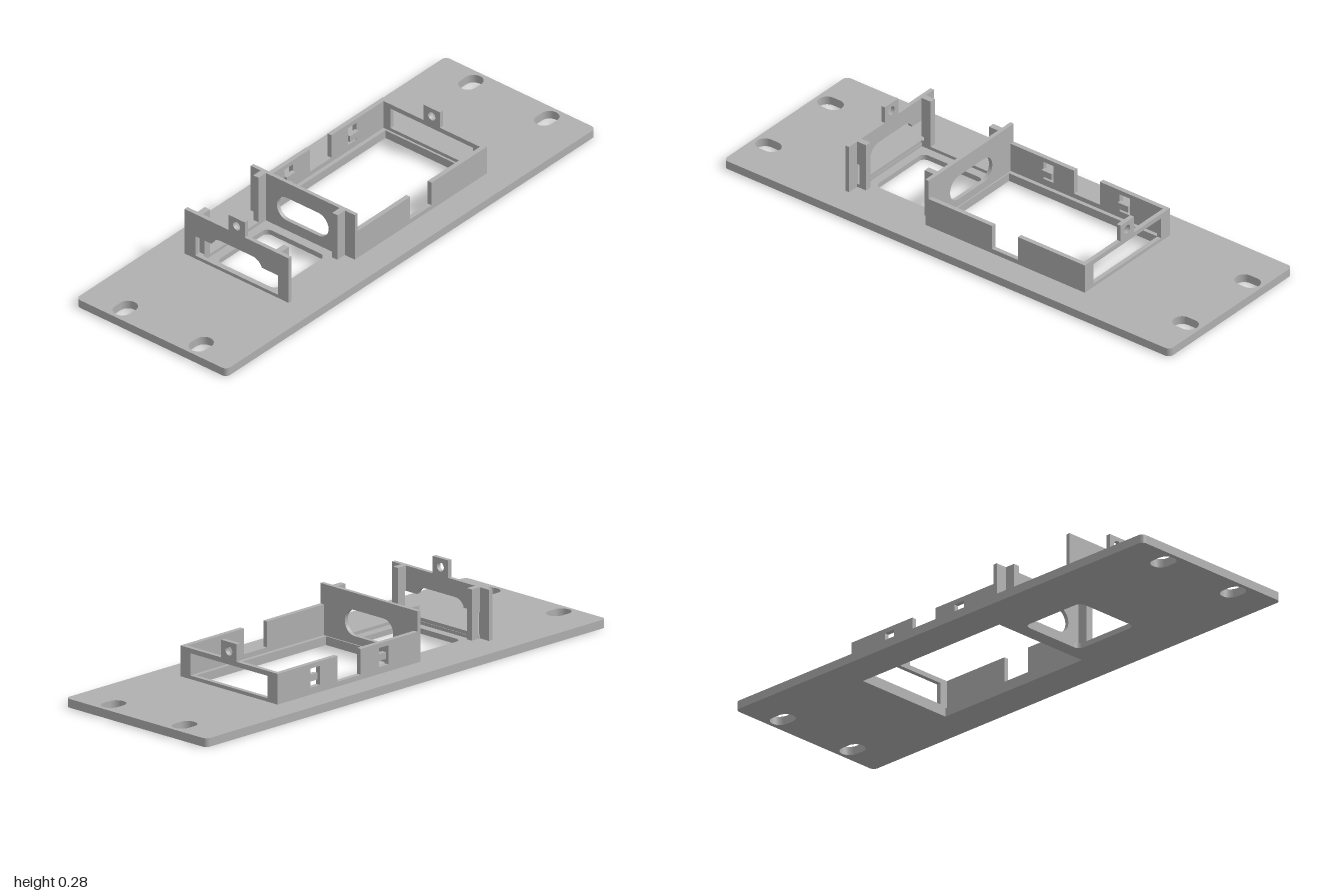
import * as THREE from 'three';

const grey = new THREE.MeshStandardMaterial({ color: 0xb0b0b0 });
grey.name = 'plain grey';

// Rounded rectangle centred on (cx, cy); r = 0 gives sharp corners
function roundRect(Type, cx, cy, w, h, r) {
  const p = new Type(), a = w / 2 - r, b = h / 2 - r, H = Math.PI / 2;
  if (r === 0) {
    return p.moveTo(cx - a, cy - b).lineTo(cx + a, cy - b).lineTo(cx + a, cy + b).lineTo(cx - a, cy + b).closePath();
  }
  p.absarc(cx + a, cy - b, r, -H, 0);
  p.absarc(cx + a, cy + b, r, 0, H);
  p.absarc(cx - a, cy + b, r, H, 2 * H);
  p.absarc(cx - a, cy - b, r, 2 * H, 3 * H);
  return p.closePath();
}
const hole = (...args) => roundRect(THREE.Path, ...args);

function polygon(points) {
  return new THREE.Shape(points.map(([x, y]) => new THREE.Vector2(x, y)));
}

function extrude(shape, depth) {
  return new THREE.ExtrudeGeometry(shape, { depth, bevelEnabled: false, curveSegments: 10 });
}

export function createModel() {
  const group = new THREE.Group();
  const add = (name, geometry) => {
    const mesh = new THREE.Mesh(geometry, grey);
    mesh.name = name;
    group.add(mesh);
  };
  const box = (name, x0, x1, y0, y1, z0, z1) => add(name, new THREE.BoxGeometry(x1 - x0, y1 - y0, z1 - z0)
    .translate((x0 + x1) / 2, (y0 + y1) / 2, (z0 + z1) / 2));
  // Upright wall across the plate, drawn in z and y
  const crossWall = (name, shape, x0, x1) => add(name, extrude(shape, x1 - x0).rotateY(Math.PI / 2).translate(x0, 0, 0));
  // Upright wall along the plate, drawn in x and y
  const longWall = (name, shape, z0, z1) => add(name, extrude(shape, z1 - z0).translate(0, 0, z0));

  const T = 0.032;      // plate thickness
  const W = 0.24;       // half width of the walls

  // Base plate in two layers, so the small bay gets a shallow pocket
  const plateLayer = (name, y0, y1, smallOpening) => {
    const s = roundRect(THREE.Shape, 0, 0, 2, 0.694, 0.02);
    for (const x of [-0.935, 0.935]) {
      for (const z of [-0.175, 0.175]) s.holes.push(hole(x, z, 0.1, 0.07, 0.0349));
    }
    s.holes.push(hole(0.175, 0, 0.67, 0.414, 0), smallOpening);
    add(name, extrude(s, y1 - y0).rotateX(-Math.PI / 2).translate(0, y0, 0));
  };
  plateLayer('plateBottom', 0, 0.02, hole(-0.352, 0, 0.273, 0.272, 0.025));
  plateLayer('plateTop', 0.02, T, hole(-0.35, 0, 0.34, 0.34, 0));

  // Wall outline with a central screw tab on top
  const tabbed = (top, tabTop) => polygon([
    [-W, T], [W, T], [W, top], [0.038, top], [0.038, tabTop], [-0.038, tabTop], [-0.038, top], [-W, top],
  ]);

  // Outer wall of the small bay: wide window with a rounded top
  const outer = tabbed(0.22, 0.284);
  const win = new THREE.Path();
  win.moveTo(-0.19, 0.045).lineTo(0.19, 0.045).lineTo(0.19, 0.127).lineTo(0.112, 0.127);
  win.absarc(0.072, 0.109, 0.048, 0.38, Math.PI / 2);
  win.absarc(-0.072, 0.109, 0.048, Math.PI / 2, Math.PI - 0.38);
  win.lineTo(-0.19, 0.127).closePath();
  outer.holes.push(win, hole(0, 0.252, 0.033, 0.033, 0.0164));
  crossWall('smallBayOuterWall', outer, -0.538, -0.522);

  // Divider with a long rounded hole
  const divider = roundRect(THREE.Shape, 0, (T + 0.22) / 2, 2 * W, 0.22 - T, 0);
  divider.holes.push(hole(0, 0.109, 0.238, 0.096, 0.0479));
  crossWall('dividerWall', divider, -0.18, -0.165);

  // Far wall of the large bay
  const far = tabbed(0.145, 0.21);
  far.holes.push(hole(0, 0.086, 0.38, 0.082, 0), hole(0, 0.177, 0.033, 0.033, 0.0164));
  crossWall('largeBayEndWall', far, 0.518, 0.535);

  // Long walls with a deep notch; the rear one has two clip windows
  const longShape = () => polygon([
    [-0.165, T], [0.518, T], [0.518, 0.145], [0.235, 0.145], [0.235, 0.05],
    [0.12, 0.05], [0.12, 0.145], [-0.165, 0.145],
  ]);
  longWall('largeBayFrontWall', longShape(), 0.222, W);
  const rear = longShape();
  for (const x of [0.005, 0.347]) {
    rear.holes.push(hole(x, 0.093, 0.046, 0.07, 0));
    box('clip', x - 0.023, x + 0.023, 0.075, 0.1, -0.228, -0.211);
  }
  longWall('largeBayRearWall', rear, -W, -0.222);

  // Corner posts that guide the part in the small bay
  for (const s of [-1, 1]) {
    const z0 = Math.min(s * 0.17, s * 0.194), z1 = z0 + 0.024;
    longWall('outerPost', polygon([
      [-0.522, T], [-0.482, T], [-0.482, 0.22], [-0.522, 0.22],
      [-0.522, 0.127], [-0.512, 0.127], [-0.512, 0.045], [-0.522, 0.045],
    ]), z0, z1);
    box('dividerPost', -0.22, -0.18, T, 0.22, z0, z1);
  }
  return group;
}
